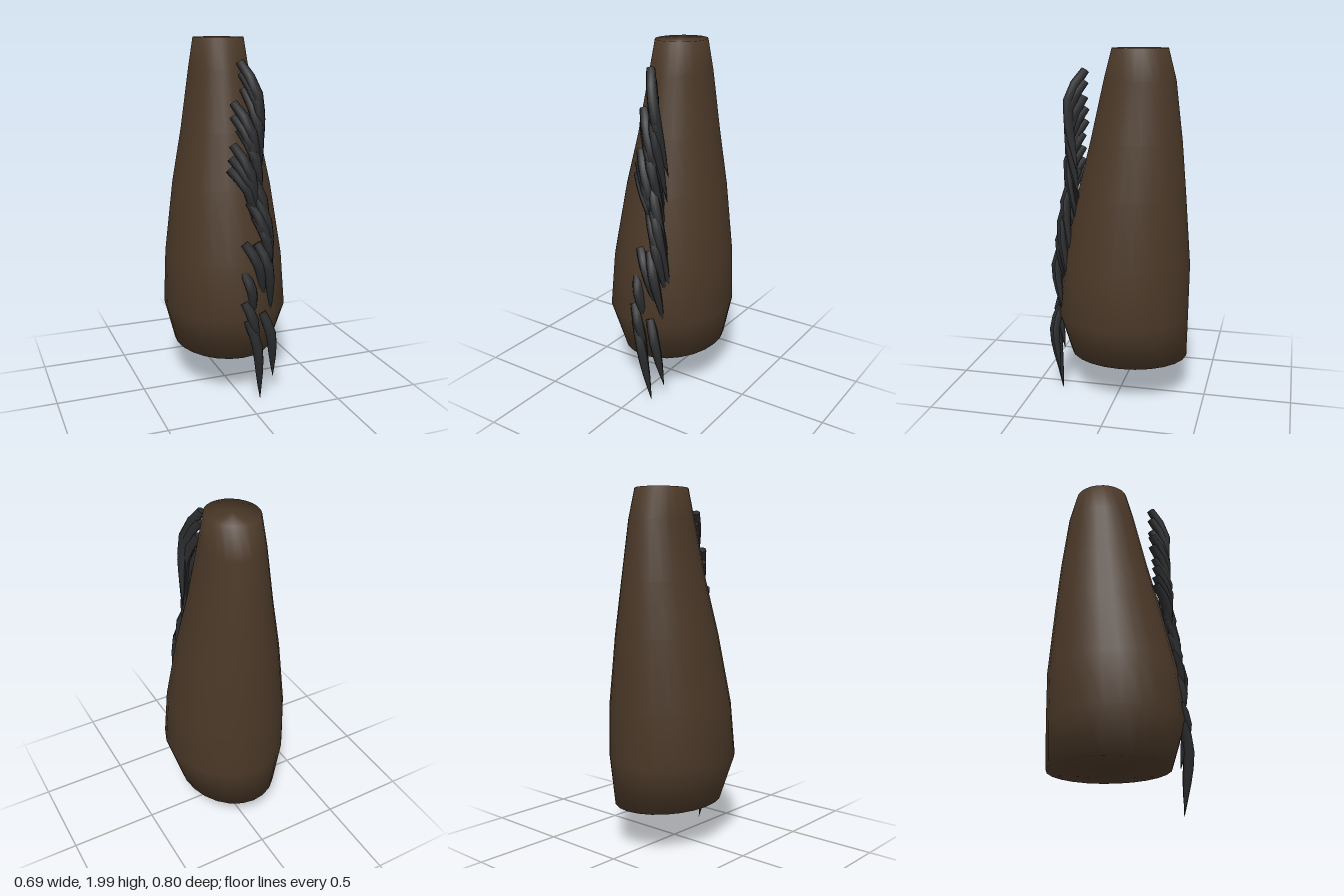
import * as THREE from 'three';
import { mergeVertices } from 'three/addons/utils/BufferGeometryUtils.js';

const hide = new THREE.MeshStandardMaterial({ color: 0x4a3828 });
hide.name = 'dark brown';
const quillMat = new THREE.MeshStandardMaterial({ color: 0x2a2b2d });
quillMat.name = 'charcoal';

// Body sections: height, half width, front z, back z
const SECTIONS = [
  [0.25, 0.275, 0.29, -0.39],
  [0.5, 0.347, 0.365, -0.395],
  [0.8, 0.33, 0.335, -0.4],
  [1.2, 0.275, 0.245, -0.37],
  [1.5, 0.215, 0.17, -0.345],
  [1.83, 0.165, 0.095, -0.305],
  [2.0, 0.14, 0.05, -0.26],
];

// Closed smooth loft of elliptical sections
function bodyGeometry() {
  const rows = [SECTIONS[0], ...SECTIONS, SECTIONS[SECTIONS.length - 1]];
  const last = rows.length - 1;
  const profile = rows.map((s, i) => new THREE.Vector2(i === 0 || i === last ? 0 : 1, s[0]));
  const geo = new THREE.LatheGeometry(profile, 24);
  const p = geo.attributes.position;
  for (let i = 0; i < p.count; i++) {
    const [y, rx, front, back] = rows[i % rows.length];
    p.setXYZ(i, p.getX(i) * rx, y, (front + back) / 2 + p.getZ(i) * (front - back) / 2);
  }
  geo.deleteAttribute('uv');
  geo.deleteAttribute('normal');
  const smooth = mergeVertices(geo, 1e-4);
  smooth.computeVertexNormals();
  return smooth;
}

// Bent quill: blunt root, bowed shaft, pointed tip
function quillGeometry(root, bow, tip) {
  const steps = 6;
  const curve = new THREE.CatmullRomCurve3([root, bow, tip], false, 'centripetal');
  const frames = curve.computeFrenetFrames(steps, false);
  const geo = new THREE.CylinderGeometry(1, 1, 1, 7, steps);
  const p = geo.attributes.position;
  const radii = [0.024, 0.029, 0.03, 0.027, 0.021, 0.012, 0.001];
  for (let i = 0; i < p.count; i++) {
    const k = Math.round((0.5 - p.getY(i)) * steps);
    const v = curve.getPointAt(k / steps)
      .addScaledVector(frames.normals[k], p.getX(i) * radii[k])
      .addScaledVector(frames.binormals[k], p.getZ(i) * radii[k]);
    p.setXYZ(i, v.x, v.y, v.z);
  }
  geo.computeVertexNormals();
  return geo;
}

// Quill roots (x, y, z) followed by length and sideways drift
const QUILLS = [
  [0.01, 1.88, 0.2, 0.55, 0.12],
  [0.02, 1.82, 0.2, 0.5, 0.11],
  [0.03, 1.74, 0.2, 0.56, 0.09],
  [-0.03, 1.67, 0.21, 0.52, 0.14],
  [-0.03, 1.6, 0.21, 0.5, 0.14],
  [0.0, 1.53, 0.22, 0.5, 0.12],
  [-0.04, 1.45, 0.23, 0.5, 0.14],
  [-0.05, 1.38, 0.23, 0.46, 0.16],
  [-0.06, 1.32, 0.23, 0.4, 0.16],
  [0.03, 1.33, 0.24, 0.56, 0.13],
  [0.05, 1.22, 0.26, 0.57, 0.13],
  [0.04, 1.14, 0.27, 0.47, 0.12],
  [0.07, 1.06, 0.28, 0.4, 0.09],
  [0.0, 0.92, 0.3, 0.38, 0.12],
  [0.07, 0.92, 0.31, 0.42, 0.09],
  [-0.01, 0.76, 0.32, 0.3, 0.06],
  [-0.015, 0.6, 0.34, 0.34, 0.08],
  [0.0, 0.5, 0.35, 0.49, 0.09],
  [0.09, 0.53, 0.34, 0.4, 0.08],
];

export function createModel() {
  const group = new THREE.Group();

  const body = new THREE.Mesh(bodyGeometry(), hide);
  body.name = 'body';
  group.add(body);

  const quills = new THREE.Group();
  quills.name = 'quills';
  for (const [x, y, z, len, drift] of QUILLS) {
    // Upper quills stand further off the body
    const lift = THREE.MathUtils.mapLinear(y, 0.5, 1.9, 0.025, 0.08);
    const quill = new THREE.Mesh(quillGeometry(
      new THREE.Vector3(x, y, z),
      new THREE.Vector3(x + drift * 0.55, y - len * 0.28, z + lift),
      new THREE.Vector3(x + drift, y - len, z + lift * 0.6 - 0.03),
    ), quillMat);
    quill.name = 'quill';
    quills.add(quill);
  }
  group.add(quills);
  return group;
}
